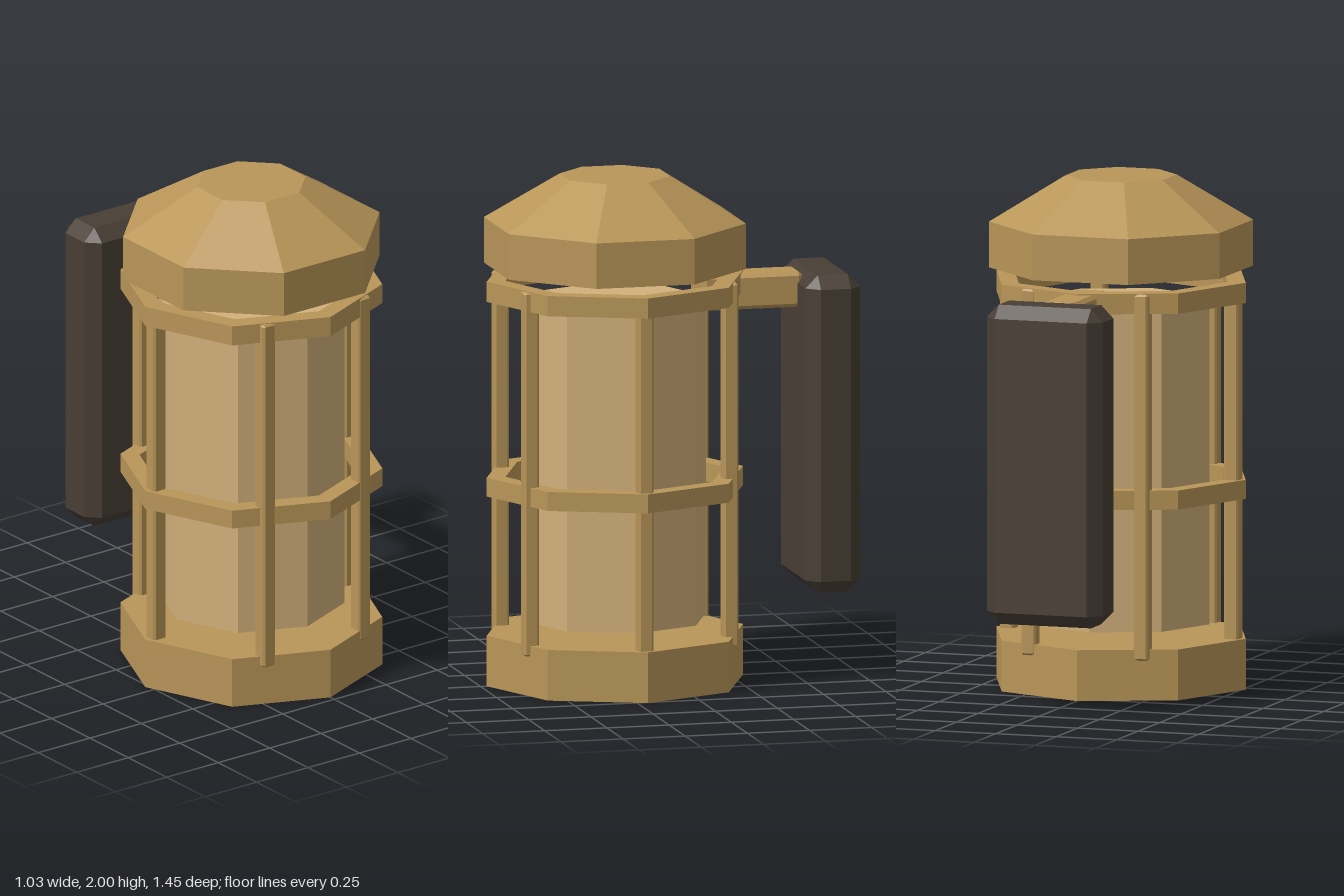
import * as THREE from 'three';
import { ConvexGeometry } from 'three/addons/geometries/ConvexGeometry.js';

// Octagonal solid turned from a profile of [radius, y] pairs, with flat facets
function octagon(profile, turn = 0) {
  const points = profile.map(([r, y]) => new THREE.Vector2(r, y));
  const geometry = new THREE.LatheGeometry(points, 8, turn).toNonIndexed();
  geometry.computeVertexNormals();
  return geometry;
}

// Box with every edge cut at 45 degrees
function chamferedBox(width, height, depth, cut) {
  const half = [width / 2, height / 2, depth / 2];
  const points = [];
  for (const x of [-1, 1]) for (const y of [-1, 1]) for (const z of [-1, 1]) {
    for (let face = 0; face < 3; face++) {
      const p = half.map((h, axis) => (axis === face ? h : h - cut));
      points.push(new THREE.Vector3(x * p[0], y * p[1], z * p[2]));
    }
  }
  return new ConvexGeometry(points);
}

export function createModel() {
  const brass = new THREE.MeshStandardMaterial({ color: 0xb99658 });
  brass.name = 'brass';
  const glass = new THREE.MeshStandardMaterial({ color: 0xd2b07a });
  glass.name = 'warm glass';
  const dark = new THREE.MeshStandardMaterial({ color: 0x483e35 });
  dark.name = 'dark brown';

  const model = new THREE.Group();
  model.name = 'wallLantern';
  const lantern = new THREE.Group();
  lantern.name = 'lantern';
  lantern.position.z = 0.21;
  model.add(lantern);

  function add(parent, name, geometry, material, x = 0, y = 0, z = 0) {
    const mesh = new THREE.Mesh(geometry, material);
    mesh.name = name;
    mesh.position.set(x, y, z);
    parent.add(mesh);
  }

  // Base, glass body and roof
  add(lantern, 'base', octagon([[0, 0], [0.515, 0], [0.515, 0.2], [0, 0.2]]), brass);
  add(lantern, 'glassBody', octagon([[0, 0.25], [0.366, 0.25], [0.366, 1.505], [0, 1.505]]), glass);
  add(lantern, 'roof', octagon(
    [[0, 1.64], [0.515, 1.64], [0.515, 1.82], [0.217, 2], [0, 2]], Math.PI / 8), brass);

  // Cage rings
  for (const [name, low, high] of [['middleRing', 0.75, 0.825], ['topRing', 1.52, 1.6]]) {
    add(lantern, name, octagon(
      [[0.515, low], [0.515, high], [0.44, high], [0.44, low], [0.515, low]]), brass);
  }

  // Six upright cage bars
  const barGeometry = chamferedBox(0.06, 1.44, 0.06, 0.008);
  for (let i = 0; i < 6; i++) {
    const angle = (i * Math.PI) / 3;
    add(lantern, 'cageBar', barGeometry, brass,
      0.463 * Math.cos(angle), 0.877, 0.463 * Math.sin(angle));
  }

  // Arm and wall plate behind the lantern
  add(model, 'arm', chamferedBox(0.14, 0.14, 0.4, 0.015), brass, 0, 1.525, -0.328);
  add(model, 'wallPlate', chamferedBox(0.48, 1.255, 0.22, 0.05), dark, 0, 0.973, -0.617);

  return model;
}
